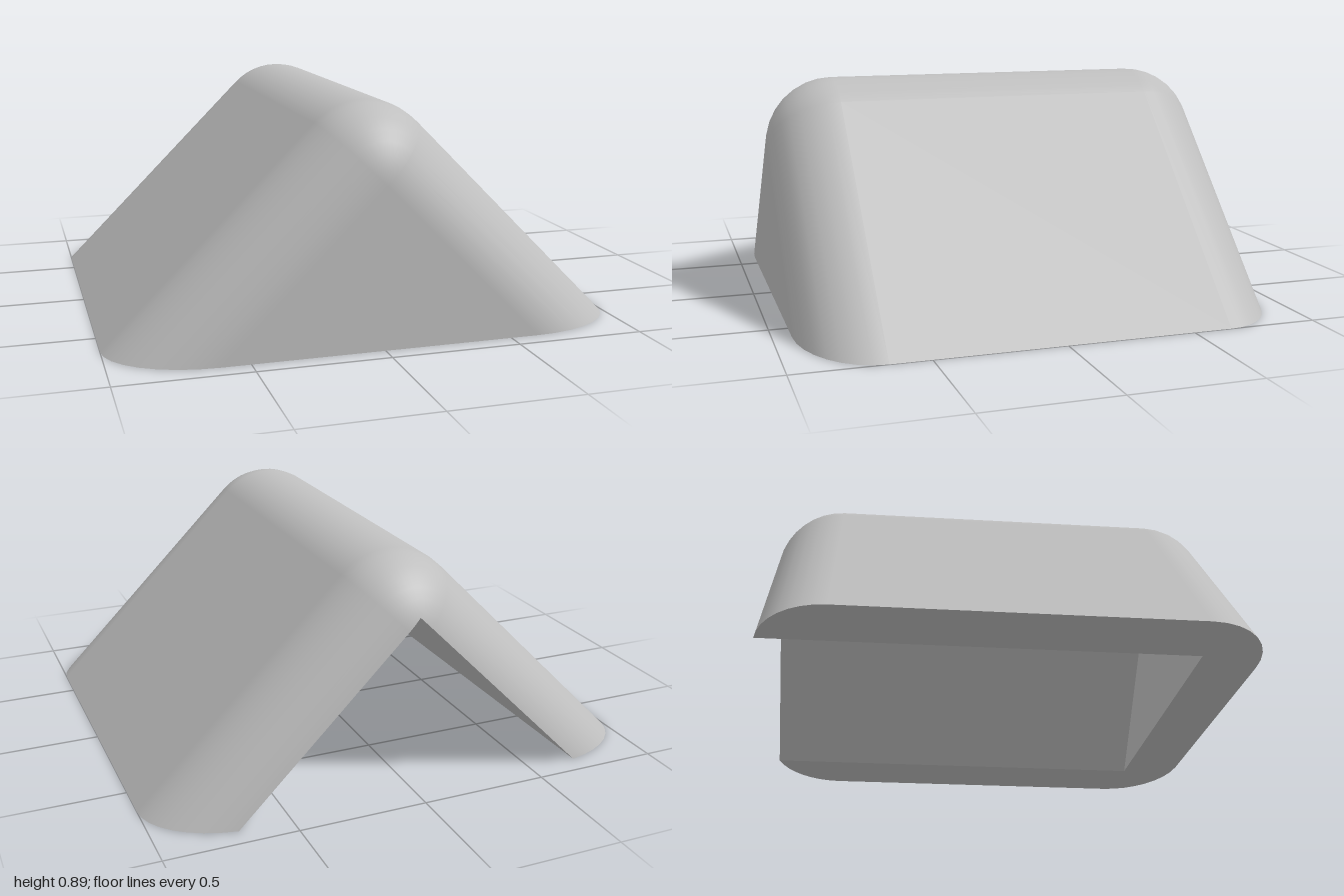
import * as THREE from 'three';

const R = 0.275;                    // rounding radius
const ZC = 0.653;                   // z where the end rounding starts
const YC = 1 - R * Math.SQRT2;      // centre height of the ridge rounding
const CAVITY = 0.70;                // half width and height of the cavity
const D = (CAVITY - YC) / Math.SQRT2;
const STEPS = 8, ARC = 12;

// Depth of the rounded edge at distance rho from its centre line
const bulge = (rho) => Math.sqrt(Math.max(0, R * R - rho * rho));
const arcAngle = (j) => Math.PI / 4 + (Math.PI / 2) * (j / ARC);
// Distance from the ridge centre to the sharp cavity roof at angle t
const sharp = (t) => D / Math.cos(Math.min(t - Math.PI / 4, 3 * Math.PI / 4 - t));

// One tent-shaped section, from the +x foot over the ridge to the -x foot
function section(rhoAt, side, fixedZ) {
  const pts = [];
  const add = (x, y, rho, t) => {
    const z = fixedZ ?? side * (ZC + bulge(rho));
    pts.push({
      p: [x, y, z],
      n: [rho / R * Math.cos(t), rho / R * Math.sin(t), side * bulge(rho) / R],
    });
  };
  const a = Math.PI / 4, b = 3 * Math.PI / 4;
  const foot = YC + rhoAt(a) * Math.SQRT2;
  add(foot, 0, rhoAt(a), a);
  for (let j = 0; j <= ARC; j++) {
    const t = arcAngle(j), rho = rhoAt(t);
    add(rho * Math.cos(t), YC + rho * Math.sin(t), rho, t);
  }
  add(-foot, 0, rhoAt(b), b);
  return pts;
}

// Skin over sections ordered front to back
function loft(rows, inward) {
  const pos = [], nor = [], idx = [], w = rows[0].length;
  rows.forEach((row) => row.forEach(({ p, n }) => { pos.push(...p); nor.push(...n); }));
  for (let i = 0; i < rows.length - 1; i++) {
    for (let j = 0; j < w - 1; j++) {
      const A = i * w + j, B = A + 1, C = A + w, E = C + 1;
      if (inward) idx.push(A, B, C, B, E, C);
      else idx.push(A, C, B, B, C, E);
    }
  }
  let g = new THREE.BufferGeometry();
  g.setAttribute('position', new THREE.Float32BufferAttribute(pos, 3));
  g.setAttribute('normal', new THREE.Float32BufferAttribute(nor, 3));
  g.setIndex(idx);
  if (inward) {
    g = g.toNonIndexed();
    g.computeVertexNormals();
  }
  return g;
}

const flat = (pts) => new THREE.ShapeGeometry(
  new THREE.Shape(pts.map(([x, y]) => new THREE.Vector2(x, y))));
const triangle = (s) => flat([[-s, 0], [s, 0], [0, s]]);

export function createModel() {
  const model = new THREE.Group();
  model.name = 'roundedRidgeBlock';
  const grey = new THREE.MeshStandardMaterial({ color: 0xbfbfbf });
  grey.name = 'grey';
  const add = (name, geometry) => {
    const mesh = new THREE.Mesh(geometry, grey);
    mesh.name = name;
    model.add(mesh);
  };

  // Outer skin: two slopes with rounded ridge, corners and ends
  const rows = [];
  for (let i = 0; i <= STEPS; i++) {
    const rho = R * Math.sin((Math.PI / 2) * (i / STEPS));
    rows.push(section(() => rho, 1));
  }
  const aMax = Math.acos(D / R);
  for (let i = 0; i < STEPS; i++) {
    const rho = R * Math.cos(aMax * (i / STEPS));
    rows.push(section(() => rho, -1));
  }
  const rim = section(sharp, -1);
  rows.push(rim);
  add('outerShell', loft(rows, false));

  // Flat front gable
  add('frontFace', triangle(YC).translate(0, 0, ZC + R));

  // Cavity, open at the back and below
  const innerZ = 0.7;
  add('cavityRoof', loft([section(sharp, 1, innerZ), rim], true));
  add('cavityFrontWall', triangle(CAVITY).rotateY(Math.PI).translate(0, 0, innerZ));

  // U-shaped underside following the feet of the shell
  const feet = (k) => rows.map((r) => r[k].p).map(([x, , z]) => [x, z]);
  const right = feet(0), left = feet(rim.length - 1).reverse();
  add('underside', flat([
    ...right, [CAVITY, innerZ], [-CAVITY, innerZ], ...left,
  ]).rotateX(Math.PI / 2));

  return model;
}
